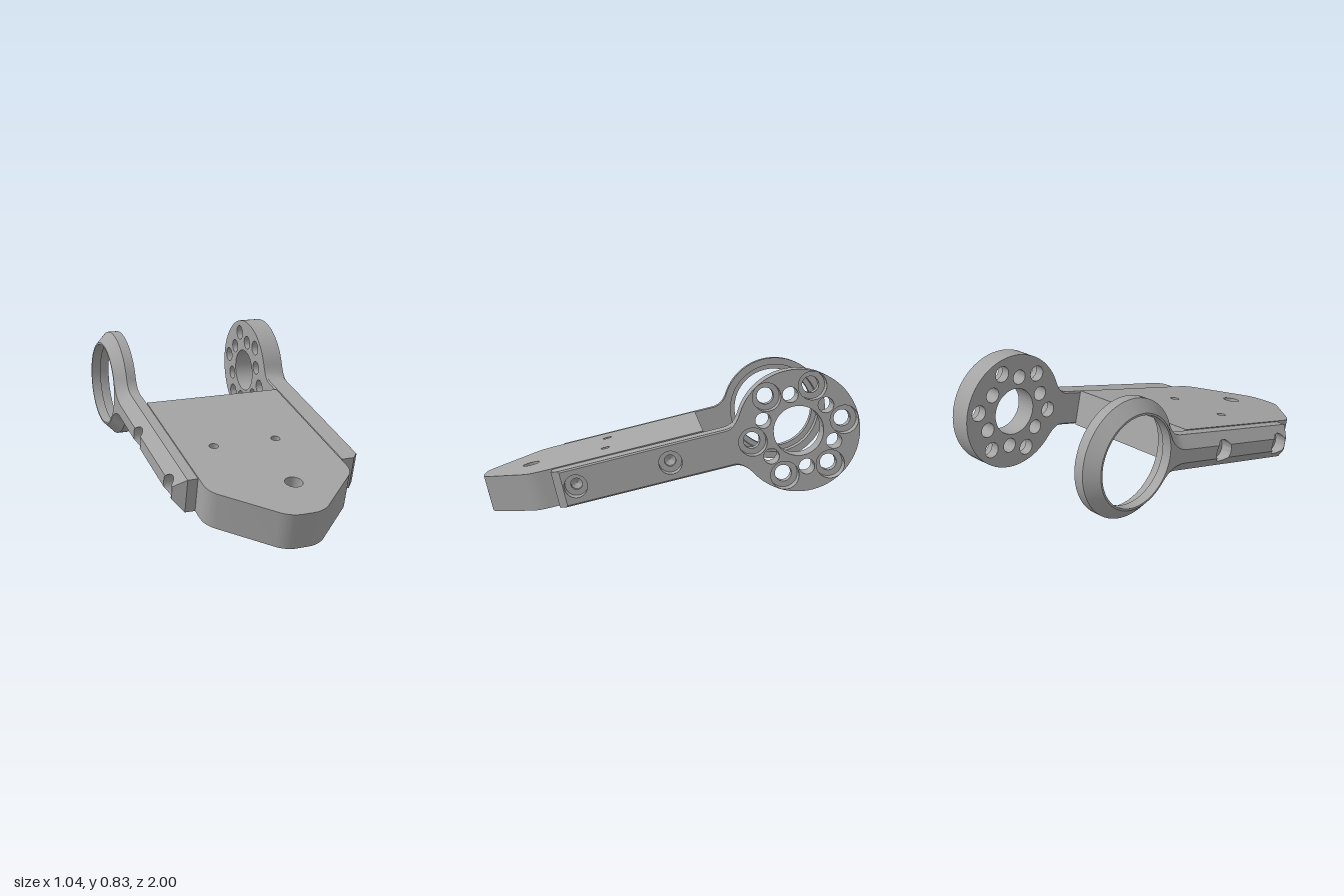
import * as THREE from 'three';
import { toCreasedNormals } from 'three/addons/utils/BufferGeometryUtils.js';

const SEG = 48;
const TILT = 0.2443;          // slope of the whole bracket
const H = 0.096;              // half height of the arm bars
const NECK = 0.36;            // where bar and ring blend
const END = 1.285;            // front end of the bars
const SCREWS = [0.674, 1.174]; // screw positions along the bars

// Points here are [u, v]: u runs forward along the arm, v runs up.
const arc = (u, v, r, a0, a1, n = SEG) => Array.from({ length: n + 1 }, (_, i) => {
  const a = a0 + (a1 - a0) * i / n;
  return [u + r * Math.cos(a), v + r * Math.sin(a)];
});
const circle = (u, v, r) => arc(u, v, r, 0, Math.PI * 2).slice(0, SEG);
const vec = (pts) => pts.map(([u, v]) => new THREE.Vector2(u, v));

// Ring with a bar, joined by two fillets, counter-clockwise
function armOutline(R, h, end) {
  const th = 0.54, p = [R * Math.cos(th), R * Math.sin(th)];
  const c = [p[0] + (p[1] - h) * Math.tan(th), h];
  const fillet = new THREE.QuadraticBezierCurve(...vec([[NECK, h], c, p])).getPoints(8).map((q) => [q.x, q.y]);
  const lower = fillet.map(([u, v]) => [u, -v]).reverse();
  const round = arc(0, 0, R, th, 2 * Math.PI - th, 64).slice(1, -1);
  return [[end, -h], [end, h], ...fillet, ...round, ...lower];
}

// Collects faces of one solid
class Skin {
  constructor() { this.pos = []; }
  tri(...pts) { for (const p of pts) this.pos.push(...p); }
  // Walls through [points, x] sections; falling x faces outward, rising x faces a bore
  loft(sections, skip = () => false) {
    const rows = sections.map(([pts, x]) => pts.map(([u, v]) => [typeof x === 'function' ? x(v) : x, v, u]));
    for (let s = 0; s + 1 < rows.length; s++) {
      const A = rows[s], B = rows[s + 1], n = A.length;
      for (let i = 0; i < n; i++) {
        const j = (i + 1) % n;
        if (skip(s, i, n)) continue;
        this.tri(A[i], A[j], B[j]);
        this.tri(A[i], B[j], B[i]);
      }
    }
  }
  bore(u, v, profile) { this.loft(profile.map(([r, x]) => [circle(u, v, r), x])); }
  // Flat face with holes, facing +x or -x
  cap(pts, holes, x, dir) {
    const shape = new THREE.Shape(vec(pts));
    shape.holes = holes.map((h) => new THREE.Path(vec(circle(...h))));
    const g = new THREE.ShapeGeometry(shape), p = g.attributes.position, k = g.index.array;
    const at = (i) => [typeof x === 'function' ? x(p.getY(i)) : x, p.getY(i), p.getX(i)];
    for (let i = 0; i < k.length; i += 3) {
      const t = [at(k[i]), at(k[i + 1]), at(k[i + 2])];
      this.tri(...(dir > 0 ? t.reverse() : t));
    }
  }
  mesh(name, material) {
    const g = new THREE.BufferGeometry();
    g.setAttribute('position', new THREE.Float32BufferAttribute(this.pos, 3));
    const m = new THREE.Mesh(toCreasedNormals(g, 0.5), material);
    m.name = name;
    return m;
  }
}

// Sloping base plate with a tapered nose
function basePlate(material) {
  const s = new THREE.Shape(), w = 0.403;
  s.moveTo(-w, -0.47);
  s.lineTo(-w, -1.346);
  s.quadraticCurveTo(-w, -1.409, -0.36, -1.45);
  s.lineTo(-0.13, -1.671);
  s.quadraticCurveTo(-0.085, -1.709, -0.03, -1.709);
  s.lineTo(0.03, -1.709);
  s.quadraticCurveTo(0.085, -1.709, 0.13, -1.671);
  s.lineTo(0.36, -1.45);
  s.quadraticCurveTo(w, -1.409, w, -1.346);
  s.lineTo(w, -0.47);
  for (const [x, u, r] of [[-0.21, 1.006, 0.025], [0.15, 1.006, 0.025], [0.055, 1.434, 0.047]])
    s.holes.push(new THREE.Path().absarc(x, -u, r, 0, Math.PI * 2, true));
  const g = new THREE.ExtrudeGeometry(s, { depth: 0.2, bevelEnabled: false, curveSegments: 16 });
  g.rotateX(-Math.PI / 2).translate(-0.005, -0.1, 0);
  const m = new THREE.Mesh(toCreasedNormals(g, 0.5), material);
  m.name = 'basePlate';
  return m;
}

// Left arm: thick drilled disc with counterbored holes
function discArm(material) {
  const k = new Skin(), R = 0.315, IN = 0.4, STEP = 0.455, OUT = 0.52;
  const outer = armOutline(R, H - 0.008, 1.24), inner = armOutline(R, H - 0.008, END - 0.008);
  k.loft([[outer, OUT], [armOutline(R, H, 1.248), OUT - 0.008], [armOutline(R, H, END), 0.48],
    [armOutline(R, H, END), IN + 0.008], [inner, IN]]);
  const front = [[0, 0, 0.128]], back = [[0, 0, 0.128]];
  k.bore(0, 0, [[0.128, IN], [0.128, OUT]]);
  for (let i = 0; i < 6; i++) {
    const a = i * Math.PI / 3, b = a + Math.PI / 6;
    const big = [0.24 * Math.cos(a), 0.24 * Math.sin(a)], small = [0.19 * Math.cos(b), 0.19 * Math.sin(b)];
    k.bore(...big, [[0.043, IN], [0.043, STEP], [0.073, STEP], [0.073, OUT]]);
    k.bore(...small, [[0.04, IN], [0.04, OUT]]);
    front.push([...big, 0.073], [...small, 0.04]);
    back.push([...big, 0.043], [...small, 0.04]);
  }
  // Blind screw holes in the bar
  for (const u of SCREWS) {
    k.bore(u, 0, [[0.001, 0.41], [0.03, 0.43], [0.03, STEP], [0.06, STEP], [0.06, OUT]]);
    front.push([u, 0, 0.06]);
  }
  k.cap(outer, front, OUT, 1);
  k.cap(inner, back, IN, -1);
  return k.mesh('discArm', material);
}

// Right arm: open stepped ring, chamfered all round the outside
function ringArm(material) {
  const k = new Skin(), R = 0.305, C = 0.06, IN = -0.41, MID = -0.465, OUT = -0.525;
  const h2 = H - C, end2 = 1.236, r = 0.06, f = Math.asin(h2 / r), PI = Math.PI;
  const surface = (v) => OUT + Math.max(0, Math.abs(v) - h2);
  const full = armOutline(R, H, END), inset = armOutline(R - C, h2, end2);
  // The long chamfers are left out here and filled by notched panels
  k.loft([[full, IN], [full, MID], [inset, OUT]], (s, i, n) => s === 1 && (i === 1 || i === n - 1));
  for (const s of [1, -1]) {
    const notches = [...SCREWS].reverse().flatMap((u) => arc(u, 0, r, f, PI - f, 24));
    const panel = [[NECK, H], [END, H], [end2, h2], ...notches, [NECK, h2]];
    k.cap(panel.map(([u, v]) => [u, v * s]), [], surface, -1);
  }
  // Outer flat face, interrupted by the screw recesses
  const before = (u) => arc(u, 0, r, PI + f, PI - f, 24), after = (u) => arc(u, 0, r, f, -f, 24);
  const [a, b] = SCREWS;
  k.cap([...inset.slice(2), ...before(a)], [[0, 0, 0.235]], OUT, -1);
  k.cap([...after(a), ...before(b)], [], OUT, -1);
  k.cap([...after(b), [end2, -h2], [end2, h2]], [], OUT, -1);
  for (const u of SCREWS)
    k.bore(u, 0, [[r, surface], [r, -0.46], [0.03, -0.46], [0.03, -0.435], [0.001, -0.418]]);
  k.bore(0, 0, [[0.235, OUT], [0.235, -0.47], [0.265, -0.47], [0.265, IN]]);
  k.cap(full, [[0, 0, 0.265]], IN, 1);
  return k.mesh('ringArm', material);
}

export function createModel() {
  const metal = new THREE.MeshStandardMaterial({ color: 0xa4a4a4 });
  metal.name = 'grey metal';
  const bracket = new THREE.Group();
  bracket.name = 'bracket';
  bracket.add(basePlate(metal), discArm(metal), ringArm(metal));
  // Ring axis is the origin of the sloping bracket
  bracket.rotation.x = TILT;
  bracket.position.set(0.0025, 0.51, -0.684);
  const model = new THREE.Group();
  model.name = 'hingeBracket';
  model.add(bracket);
  return model;
}
